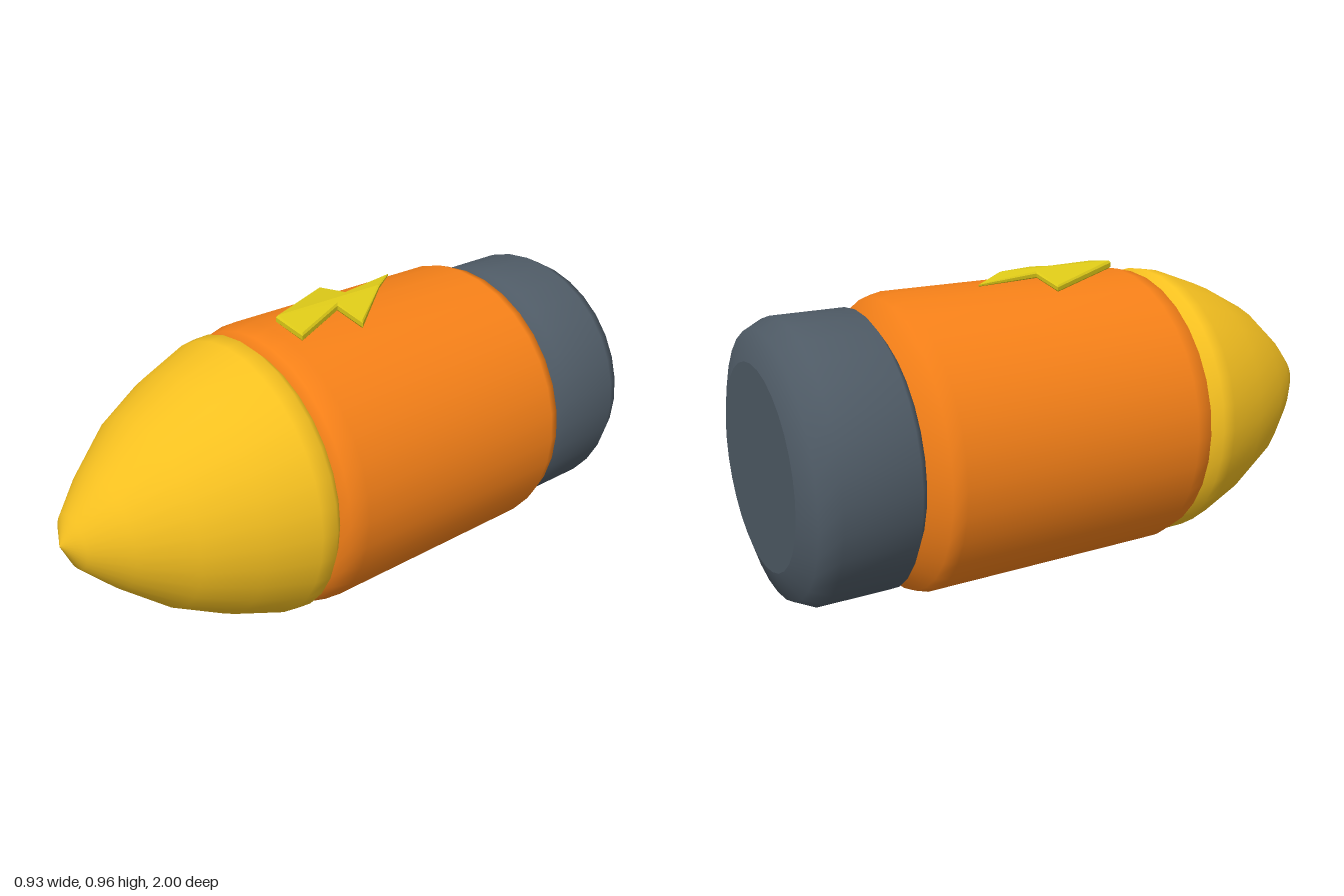
import * as THREE from 'three';

const AXIS_Y = 0.468;
const SIDES = 32;

// Turned part: profile of [z, radius] pairs running from back to front
function turned(name, color, profile) {
  const points = profile.map(([z, r]) => new THREE.Vector2(r, z));
  const geometry = new THREE.LatheGeometry(points, SIDES);
  geometry.rotateX(Math.PI / 2);
  const mesh = new THREE.Mesh(geometry, new THREE.MeshStandardMaterial({ color }));
  mesh.name = name;
  mesh.position.y = AXIS_Y;
  return mesh;
}

// Lightning bolt: bevelled plate folded over the curve of the body
function makeBolt() {
  const outline = [[-0.09, -0.32], [0, -0.2], [0.15, 0], [0.03, 0], [0.12, 0.21],
    [-0.01, 0.21], [-0.17, -0.09], [-0.04, -0.09]];
  const shape = new THREE.Shape(outline.map(([x, z]) => new THREE.Vector2(x, -z)));
  const bevel = 0.006;
  const geometry = new THREE.ExtrudeGeometry(shape, {
    depth: 0.014, bevelEnabled: true, bevelSegments: 1,
    bevelSize: bevel, bevelOffset: -bevel, bevelThickness: bevel,
  });
  geometry.translate(0, 0, -0.007);
  geometry.rotateX(-Math.PI / 2);

  // Fold along the centre line and thin the plate towards its tip
  const p = geometry.attributes.position;
  for (let i = 0; i < p.count; i++) {
    const x = p.getX(i);
    const tip = THREE.MathUtils.clamp(-p.getZ(i) / 0.32, 0, 1);
    p.setY(i, p.getY(i) * (1 - 0.7 * tip) + 0.952 - 0.17 * Math.abs(x) + 0.01 * tip);
  }
  geometry.computeVertexNormals();
  const mesh = new THREE.Mesh(geometry, new THREE.MeshStandardMaterial({ color: 0xe0cc18 }));
  mesh.name = 'lightningBolt';
  return mesh;
}

export function createModel() {
  const model = new THREE.Group();
  model.name = 'bullet';

  model.add(
    turned('nose', 0xf5c020, [[0.315, 0.42], [0.35, 0.452], [0.40, 0.445], [0.56, 0.385],
      [0.72, 0.30], [0.86, 0.185], [0.96, 0.085], [1, 0]]),
    turned('body', 0xf58018, [[-0.645, 0.38], [-0.60, 0.452], [-0.56, 0.465],
      [0.24, 0.465], [0.30, 0.45], [0.315, 0.42]]),
    turned('tail', 0x4f5b66, [[-1, 0.31], [-0.97, 0.40], [-0.91, 0.43],
      [-0.68, 0.43], [-0.645, 0.38]]),
    turned('tailCap', 0x4f5b66, [[-1, 0], [-1, 0.31]]),
    makeBolt(),
  );
  return model;
}
